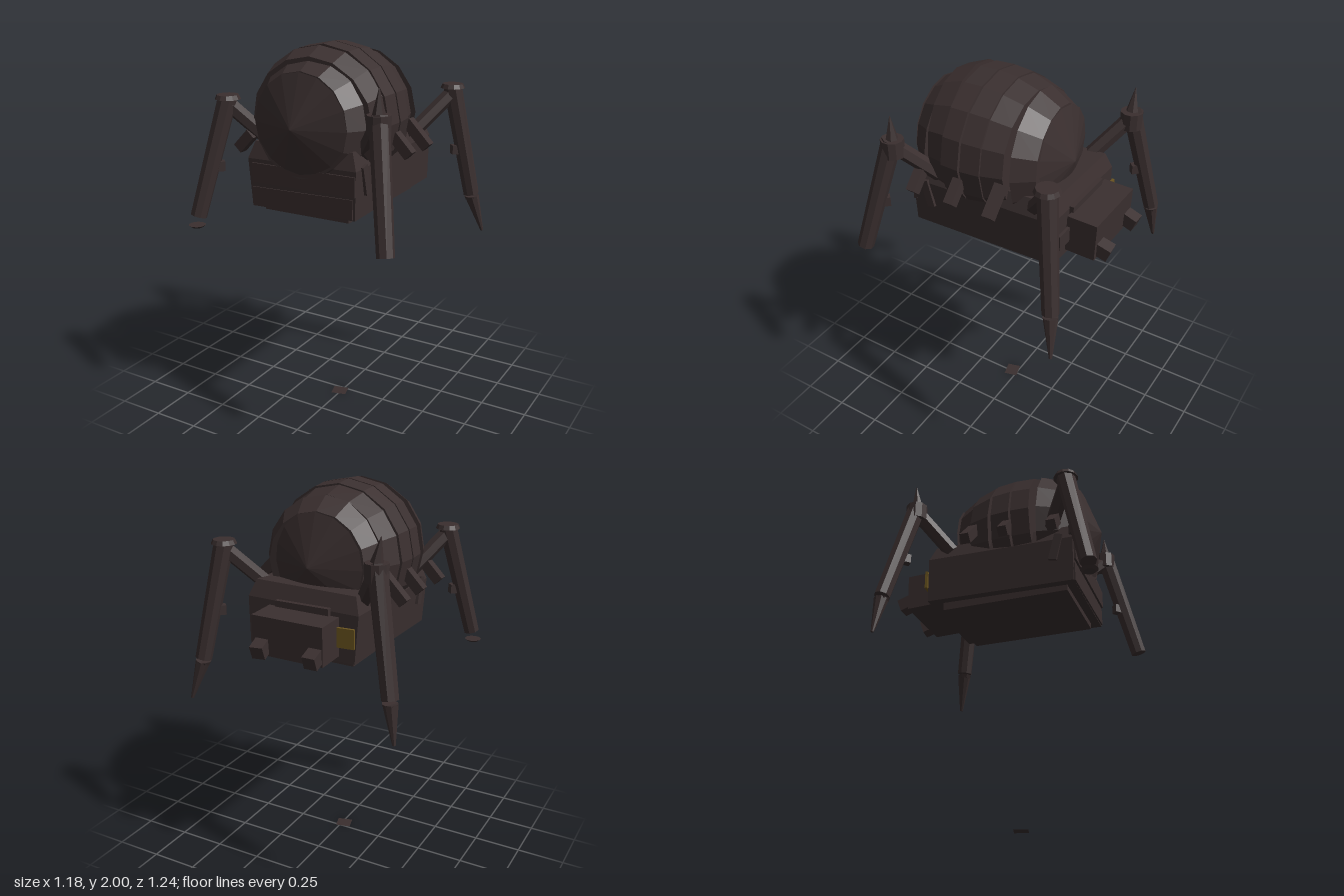
import * as THREE from 'three';

const shell = new THREE.MeshStandardMaterial({ color: 0x3a2f2f, flatShading: true });
shell.name = 'dark shell';
const brass = new THREE.MeshStandardMaterial({ color: 0x6b5520, flatShading: true });
brass.name = 'brass';
const shellSheet = new THREE.MeshStandardMaterial({ color: 0x3a2f2f, side: THREE.DoubleSide });
shellSheet.name = 'dark shell sheet';

const UP = new THREE.Vector3(0, 1, 0);
const V = (x, y, z) => new THREE.Vector3(x, y, z);

export function createModel() {
  const root = new THREE.Group();
  root.name = 'beetleMachine';

  const add = (name, geo, pos, rot = [0, 0, 0], mat = shell, parent = root) => {
    const m = new THREE.Mesh(geo, mat);
    m.name = name;
    m.position.set(...pos);
    m.rotation.set(...rot);
    parent.add(m);
    return m;
  };
  const box = (name, size, pos, rot, mat, parent) =>
    add(name, new THREE.BoxGeometry(...size), pos, rot, mat, parent);

  // Tapered rod between two points
  const rod = (name, a, b, ra, rb, sides, parent) => {
    const d = b.clone().sub(a);
    const m = add(name, new THREE.CylinderGeometry(rb, ra, d.length(), sides),
      a.clone().add(b).multiplyScalar(0.5).toArray(), [0, 0, 0], shell, parent);
    m.quaternion.setFromUnitVectors(UP, d.normalize());
    return m;
  };

  // Hull: main box with its upper rim drawn in, front panels and belly plate
  const hull = new THREE.BoxGeometry(0.62, 0.33, 0.81, 1, 2, 1);
  const p = hull.attributes.position;
  for (let i = 0; i < p.count; i++) {
    if (p.getY(i) > 0.1) { p.setX(i, p.getX(i) * 0.9); p.setZ(i, p.getZ(i) * 0.93); }
    else if (Math.abs(p.getY(i)) < 0.01) p.setY(i, 0.08);
    else p.setX(i, p.getX(i) * 0.96);
  }
  hull.computeVertexNormals();
  add('hull', hull, [0, 1.37, 0.015], [0.02, 0, 0.02]);
  box('upperFrontPanel', [0.59, 0.1, 0.02], [0.01, 1.37, 0.42], [0, 0, 0.01]);
  box('lowerFrontPanel', [0.58, 0.1, 0.02], [0, 1.25, 0.415], [0, 0, 0.03]);
  box('bellyPlate', [0.49, 0.07, 0.69], [-0.005, 1.2, 0.025], [0, 0, 0.01]);

  // Abdomen: separate rings along z, [front z, back z, front radius, back radius, yaw, pitch]
  const abdomen = new THREE.Group();
  abdomen.name = 'abdomen';
  abdomen.position.y = 1.63;
  root.add(abdomen);
  const rings = [
    [0.51, 0.422, 0.001, 0.26, 0, 0],
    [0.42, 0.332, 0.26, 0.315, 0, -0.04],
    [0.325, 0.212, 0.325, 0.36, 0.08, 0.05],
    [0.2, 0.1, 0.365, 0.37, 0, 0],
    [0.088, -0.015, 0.37, 0.36, 0, 0.01],
    [-0.02, -0.135, 0.355, 0.32, -0.04, 0.03],
    [-0.145, -0.25, 0.325, 0.26, 0.06, 0.03],
    [-0.25, -0.335, 0.26, 0.001, 0, 0],
  ];
  rings.forEach(([f, b, rf, rb, yaw, pitch], i) => {
    const g = new THREE.CylinderGeometry(rf, rb, f - b, 16).rotateX(Math.PI / 2);
    add('abdomenRing' + (i + 1), g, [0, 0, (f + b) / 2], [pitch, yaw, 0], shell, abdomen);
  });

  // Head, jaws and cheek plates
  box('head', [0.39, 0.2, 0.16], [-0.015, 1.335, -0.475], [-0.03, 0, 0.01]);
  box('neck', [0.3, 0.22, 0.06], [-0.01, 1.36, -0.38]);
  for (const x of [-0.17, 0.125])
    box('jaw', [0.07, 0.07, 0.13], [x, 1.285, -0.55], [-0.35, x > 0 ? 0.1 : 0, 0]);
  box('brassCheek', [0.1, 0.1, 0.015], [-0.25, 1.34, -0.41], [0, 0.08, 0], brass);
  box('cheek', [0.1, 0.08, 0.015], [0.225, 1.34, -0.407]);

  // Side stubs leaning outward and down: [x, y, z, length]
  const stubs = [
    [-0.37, 1.53, -0.13, 0.18], [-0.38, 1.52, 0.077, 0.14], [-0.38, 1.5, 0.34, 0.12],
    [0.37, 1.53, -0.11, 0.17], [0.39, 1.52, 0.105, 0.13], [0.38, 1.5, 0.34, 0.12],
  ];
  for (const [x, y, z, len] of stubs)
    box('sideStub', [len, 0.055, 0.05], [x, y, z], [0, 0, x > 0 ? -0.8 : 0.8]);
  for (const s of [-1, 1])
    box('sideRib', [0.03, 0.15, 0.045], [s * 0.305, 1.39, 0.33], [0.25, 0, 0]);

  // Legs: spiked knees on one diagonal, flat knee discs on the other
  const legs = [
    { name: 'frontLeftLeg', hip: V(0.27, 1.5, 0.28), knee: V(0.43, 1.7, 0.43), ankle: V(0.55, 1.12, 0.575), spike: true },
    { name: 'frontRightLeg', hip: V(-0.27, 1.5, 0.28), knee: V(-0.42, 1.7, 0.425), ankle: V(-0.54, 1.13, 0.555), disc: true },
    { name: 'backLeftLeg', hip: V(0.27, 1.5, -0.27), knee: V(0.42, 1.7, -0.42), ankle: V(0.52, 1.13, -0.51), claw: V(0.58, 0.91, -0.55) },
    { name: 'backRightLeg', hip: V(-0.28, 1.5, -0.27), knee: V(-0.42, 1.7, -0.425), ankle: V(-0.55, 1.13, -0.53), claw: V(-0.585, 0.915, -0.55), spike: true },
  ];
  for (const L of legs) {
    const g = new THREE.Group();
    g.name = L.name;
    root.add(g);
    const { hip, knee, ankle } = L;
    rod('thigh', hip, knee, 0.04, 0.04, 6, g);
    rod('shin', knee.clone().add(V(0, 0.03, 0)), ankle, 0.05, 0.043, 8, g);
    const mid = knee.clone().lerp(ankle, 0.55);
    box('shinBump', [0.04, 0.05, 0.04], [mid.x - Math.sign(mid.x) * 0.035, mid.y, mid.z - Math.sign(mid.z) * 0.03], [0, 0.78, 0], shell, g);
    if (L.spike) {
      add('kneeJoint', new THREE.CylinderGeometry(0.058, 0.058, 0.09, 10), [knee.x, 1.69, knee.z], [0, 0, 0], shell, g);
      const lean = knee.x < 0 ? -0.02 : 0;
      rod('kneeSpike', V(knee.x, 1.735, knee.z), V(knee.x + lean, 1.855, knee.z), 0.032, 0.002, 6, g);
    } else {
      add('kneeDisc', new THREE.CylinderGeometry(0.055, 0.065, 0.022, 12), [knee.x, 1.735, knee.z], [0, 0, 0], shell, g);
    }
    if (L.claw) {
      add('ankleCollar', new THREE.CylinderGeometry(0.04, 0.03, 0.02, 8), [ankle.x, 1.105, ankle.z], [0, 0, 0], shell, g);
      rod('claw', ankle.clone().lerp(L.claw, 0.08), L.claw, 0.038, 0.008, 8, g);
    }
    if (L.disc)
      add('footDisc', new THREE.CylinderGeometry(0.045, 0.03, 0.012, 10), [ankle.x - 0.01, 1.075, ankle.z + 0.005], [0, 0, 0], shell, g);
  }

  // Small loose plate lying on the ground
  add('groundPlate', new THREE.PlaneGeometry(0.082, 0.074).rotateX(-Math.PI / 2),
    [-0.01, 0, 0.035], [0, 0.27, 0], shellSheet);

  return root;
}
